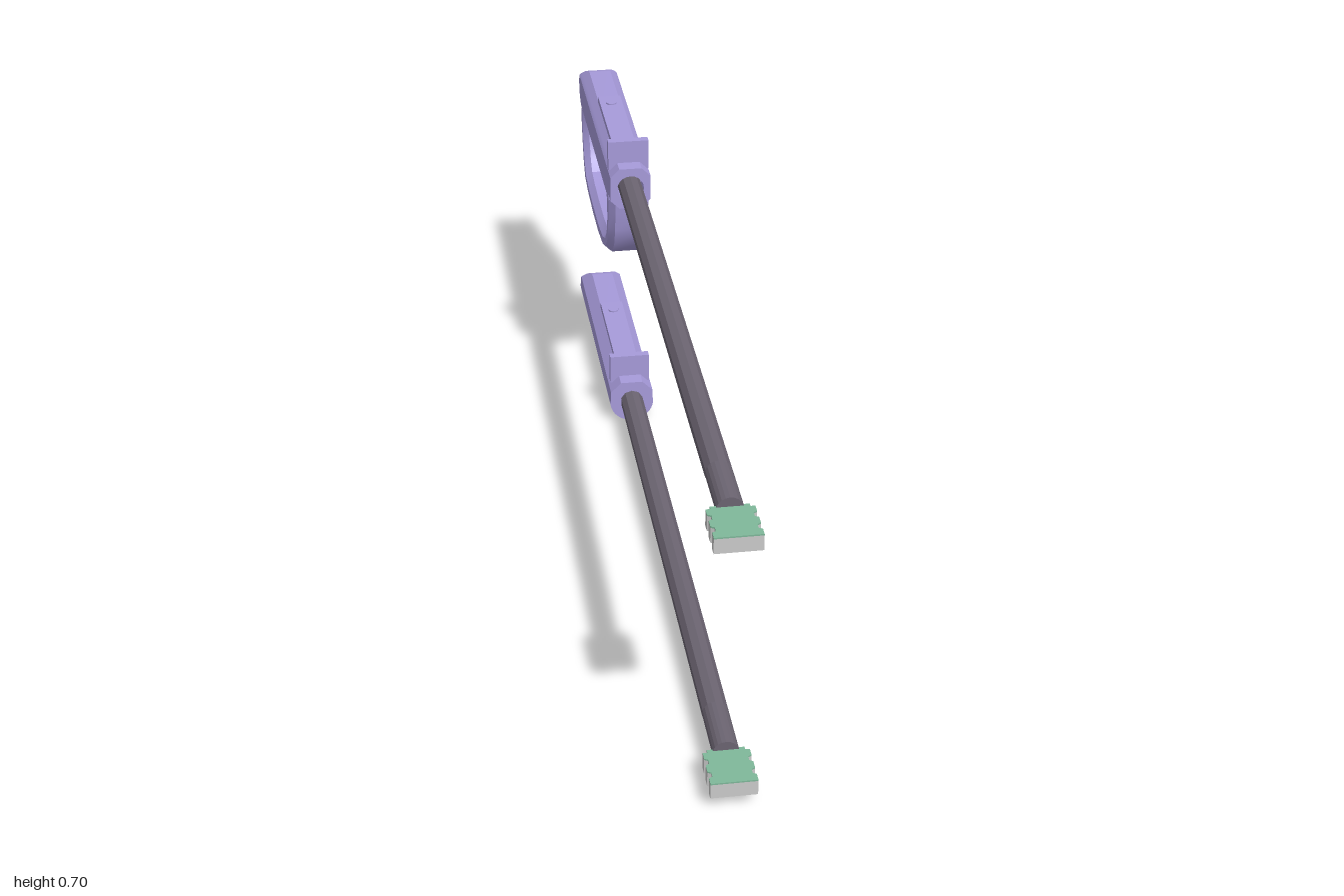
import * as THREE from 'three';
import { toCreasedNormals } from 'three/addons/utils/BufferGeometryUtils.js';

const mat = (color) => new THREE.MeshStandardMaterial({ color });
const purple = mat(0xa79bdb), dark = mat(0x6c6572), green = mat(0x7fb89a), grey = mat(0xcccccc);

function add(group, name, geometry, material) {
  const mesh = new THREE.Mesh(geometry, material);
  mesh.name = name;
  group.add(mesh);
  return mesh;
}

// box given by its limits
function box(x0, x1, y0, y1, z0, z1) {
  return new THREE.BoxGeometry(x1 - x0, y1 - y0, z1 - z0)
    .translate((x0 + x1) / 2, (y0 + y1) / 2, (z0 + z1) / 2);
}

// flat outline extruded upwards; outline points are [x, z]
function slab(points, y0, y1) {
  const shape = new THREE.Shape(points.map(([x, z]) => new THREE.Vector2(x, -z)));
  return new THREE.ExtrudeGeometry(shape, { depth: y1 - y0, bevelEnabled: false })
    .rotateX(-Math.PI / 2).translate(0, y0, 0);
}

// grip body: rows of given half-width, its back end rounded in side view
function gripBody(y0, y1, halfWidth, zFront, zBack) {
  const rows = 28, pos = [], r = (y1 - y0) / 2, yc = (y0 + y1) / 2;
  const row = (i) => {
    const y = yc - r * Math.cos(Math.PI * i / rows);
    const w = halfWidth(y);
    const zb = zBack + r - r * Math.sin(Math.PI * i / rows);
    return [[-w, y, zFront], [w, y, zFront], [w, y, zb], [-w, y, zb]];
  };
  const quad = (a, b, c, d) => pos.push(...a, ...b, ...c, ...a, ...c, ...d);
  for (let i = 0; i < rows; i++) {
    const lo = row(i), hi = row(i + 1);
    for (let k = 0; k < 4; k++) {
      const n = (k + 1) % 4;
      quad(lo[k], lo[n], hi[n], hi[k]);
    }
  }
  const bottom = row(0), top = row(rows);
  quad(top[0], top[1], top[2], top[3]);
  quad(bottom[3], bottom[2], bottom[1], bottom[0]);
  const g = new THREE.BufferGeometry();
  g.setAttribute('position', new THREE.Float32BufferAttribute(pos, 3));
  return toCreasedNormals(g, 0.5);
}

// bevelled hand guard, drawn as [z, y] and extruded across x
function guardGeometry() {
  const outer = [[-0.43, -0.03], [-0.437, -0.07], [-0.445, -0.12], [-0.465, -0.165], [-0.5, -0.2],
    [-0.56, -0.225], [-0.65, -0.236], [-0.75, -0.236], [-0.85, -0.228], [-0.91, -0.215],
    [-0.94, -0.18], [-0.96, -0.13], [-0.974, -0.08], [-0.967, -0.03]];
  const inner = [[-0.922, -0.03], [-0.93, -0.08], [-0.918, -0.12], [-0.9, -0.155], [-0.875, -0.177],
    [-0.83, -0.185], [-0.75, -0.189], [-0.65, -0.189], [-0.57, -0.18], [-0.525, -0.162],
    [-0.5, -0.135], [-0.485, -0.095], [-0.495, -0.03]];
  const shape = new THREE.Shape([...outer, ...inner].map(([z, y]) => new THREE.Vector2(-z, y)));
  const bevel = 0.014;
  const g = new THREE.ExtrudeGeometry(shape, {
    depth: 0.09 - 2 * bevel, bevelThickness: bevel, bevelSize: bevel, bevelOffset: -bevel, bevelSegments: 1,
  });
  g.translate(0, 0, -0.045 + bevel).rotateY(Math.PI / 2);
  return toCreasedNormals(g, 0.45);
}

// eight-sided collar with a bore for the shaft
function collarGeometry() {
  const a = 0.045, h = 0.048, c = 0.02;
  const shape = new THREE.Shape([[a, c - h], [a, h - c], [a - c, h], [c - a, h], [-a, h - c],
    [-a, c - h], [c - a, -h], [a - c, -h]].map(([x, y]) => new THREE.Vector2(x, y)));
  const bore = new THREE.Path();
  bore.absarc(0, 0, 0.03, 0, Math.PI * 2, true);
  shape.holes.push(bore);
  return new THREE.ExtrudeGeometry(shape, { depth: 0.05, bevelEnabled: false, curveSegments: 10 })
    .translate(0, 0, -0.46);
}

// half rod along z; lower half when flipped
function halfRod(r, z0, z1, lower) {
  const shape = new THREE.Shape();
  shape.absarc(0, 0, r, lower ? Math.PI : 0, lower ? Math.PI * 2 : Math.PI, false);
  return new THREE.ExtrudeGeometry(shape, { depth: z1 - z0, bevelEnabled: false, curveSegments: 5 })
    .translate(0, 0, z0);
}

// parts shared by both tools, laid out around the shaft axis
function createTool(name) {
  const tool = new THREE.Group();
  tool.name = name;

  // shaft in two lengths, the front one ending in an upper half shell
  const shaftMat = dark.clone();
  shaftMat.flatShading = true;
  for (const [part, z0, z1] of [['rearShaft', -0.47, 0.24], ['frontShaft', 0.24, 0.78]]) {
    add(tool, part, new THREE.CylinderGeometry(0.026, 0.026, z1 - z0, 10)
      .rotateX(Math.PI / 2).translate(0, 0, (z0 + z1) / 2), shaftMat);
  }
  add(tool, 'shaftTip', halfRod(0.026, 0.78, 0.905, false), shaftMat);
  add(tool, 'headTongue', halfRod(0.02, 0.78, 0.91, true), grey);

  // notched head with its coloured top
  const side = [[0.036, 0.9], [0.036, 0.908], [0.045, 0.908], [0.045, 0.925], [0.038, 0.929],
    [0.038, 0.941], [0.045, 0.945], [0.045, 0.963], [0.038, 0.967], [0.038, 0.979],
    [0.045, 0.983], [0.045, 1]];
  const outline = [...side, ...side.map(([x, z]) => [-x, z]).reverse()];
  add(tool, 'headBlock', slab(outline, -0.027, 0.004), grey);
  add(tool, 'headTop', slab(outline, 0.004, 0.007), green);

  // sight plate and top strip with a screw
  add(tool, 'sightPlate', box(-0.045, 0.045, 0.032, 0.099, -0.462, -0.444), purple);
  add(tool, 'topStrip', box(-0.026, 0.026, 0.045, 0.061, -0.78, -0.455), purple);
  add(tool, 'stripScrew', new THREE.CylinderGeometry(0.012, 0.012, 0.004, 16)
    .translate(0, 0.062, -0.74), purple);
  return tool;
}

export function createModel() {
  const model = new THREE.Group();
  model.name = 'twinTools';
  const half = 0.045;

  // upper tool: chamfered grip with a hand guard
  const upper = createTool('guardedTool');
  add(upper, 'gripBody', gripBody(-0.042, 0.048, (y) => Math.min(half, half + 0.028 - y), -0.45, -1), purple);
  add(upper, 'collar', collarGeometry(), purple);
  add(upper, 'handGuard', guardGeometry(), purple);
  upper.position.set(-0.002, 0.597, 0);

  // lower tool: grip rounded below and chamfered on top
  const lower = createTool('plainTool');
  const roundWidth = (y) => (y < 0
    ? Math.sqrt(Math.max(0, 0.05 ** 2 - (y + 0.002) ** 2))
    : Math.min(0.049, 0.073 - y));
  add(lower, 'gripBody', gripBody(-0.052, 0.048, roundWidth, -0.41, -1), purple);
  lower.position.set(-0.002, 0.052, 0);

  model.add(upper, lower);
  return model;
}
